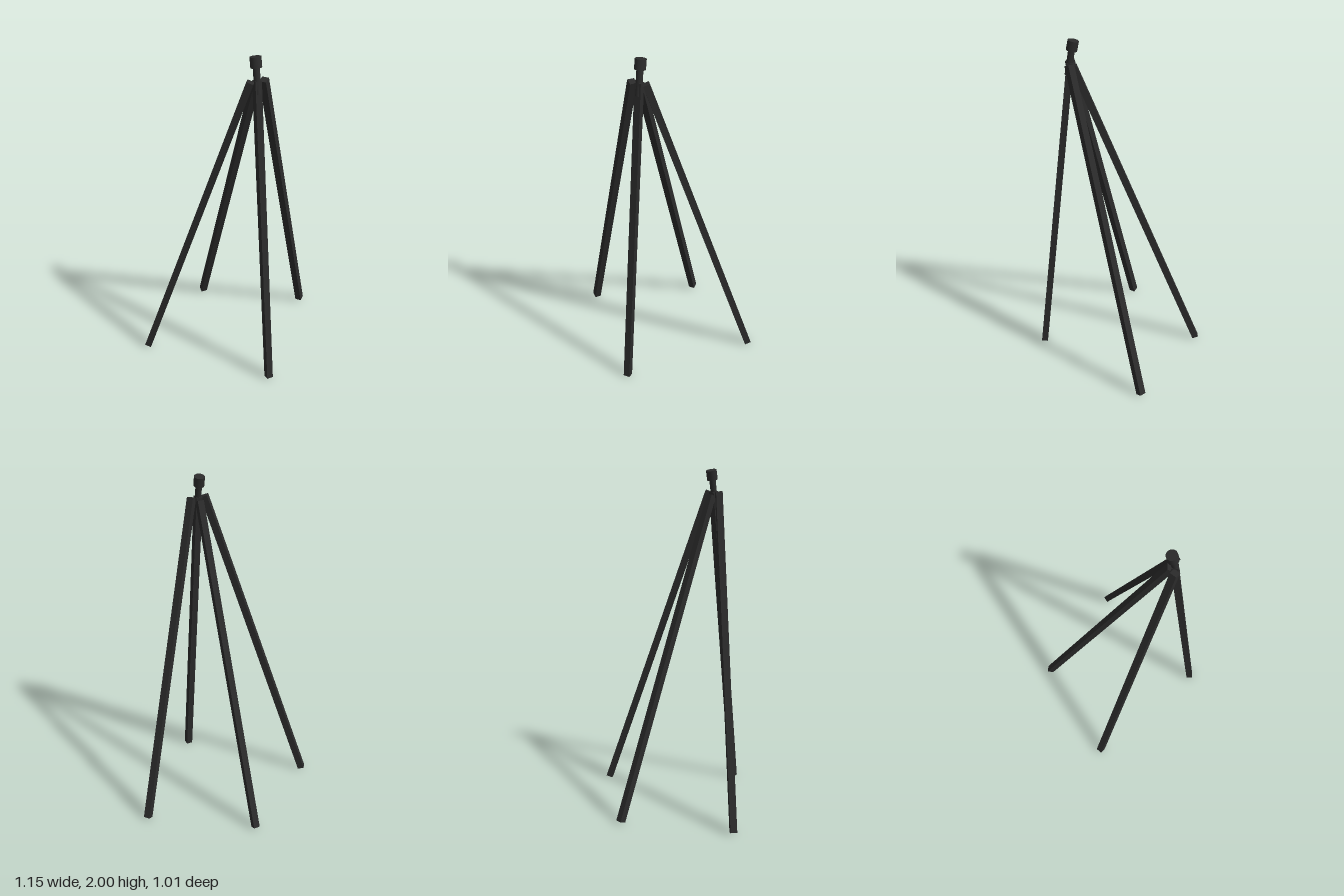
import * as THREE from 'three';

const material = new THREE.MeshStandardMaterial({ color: 0x2b2b2b, roughness: 0.8 });

// Square bar between two points, kept level across its width
function bar(name, foot, top, size) {
  const a = new THREE.Vector3(...foot), b = new THREE.Vector3(...top);
  const mesh = new THREE.Mesh(new THREE.BoxGeometry(size, size, a.distanceTo(b)), material);
  mesh.name = name;
  mesh.position.copy(a).add(b).multiplyScalar(0.5);
  mesh.lookAt(b);
  return mesh;
}

// Round rod between two points
function rod(name, from, to, radius) {
  const a = new THREE.Vector3(...from), b = new THREE.Vector3(...to);
  const mesh = new THREE.Mesh(new THREE.CylinderGeometry(radius, radius, a.distanceTo(b), 24), material);
  mesh.name = name;
  mesh.position.copy(a).add(b).multiplyScalar(0.5);
  mesh.quaternion.setFromUnitVectors(new THREE.Vector3(0, 1, 0), b.sub(a).normalize());
  return mesh;
}

export function createModel() {
  const model = new THREE.Group();
  model.name = 'fourLeggedStand';

  // Front and back legs
  model.add(bar('frontLeg', [0, 0.002, 0.483], [0, 1.87, 0.272], 0.038));
  model.add(bar('backLeg', [0, 0.008, -0.486], [0, 1.85, 0.255], 0.038));

  // Mirrored side legs
  for (const [name, s] of [['leftLeg', 1], ['rightLeg', -1]]) {
    model.add(bar(name, [s * 0.55, 0.007, -0.11], [s * 0.04, 1.87, 0.275], 0.039));
  }

  // Tilted neck with a knob on top
  model.add(rod('neck', [0, 1.8, 0.285], [0, 1.95, 0.26], 0.0185));
  model.add(rod('knob', [0, 1.939, 0.262], [0, 1.995, 0.251], 0.031));

  return model;
}
